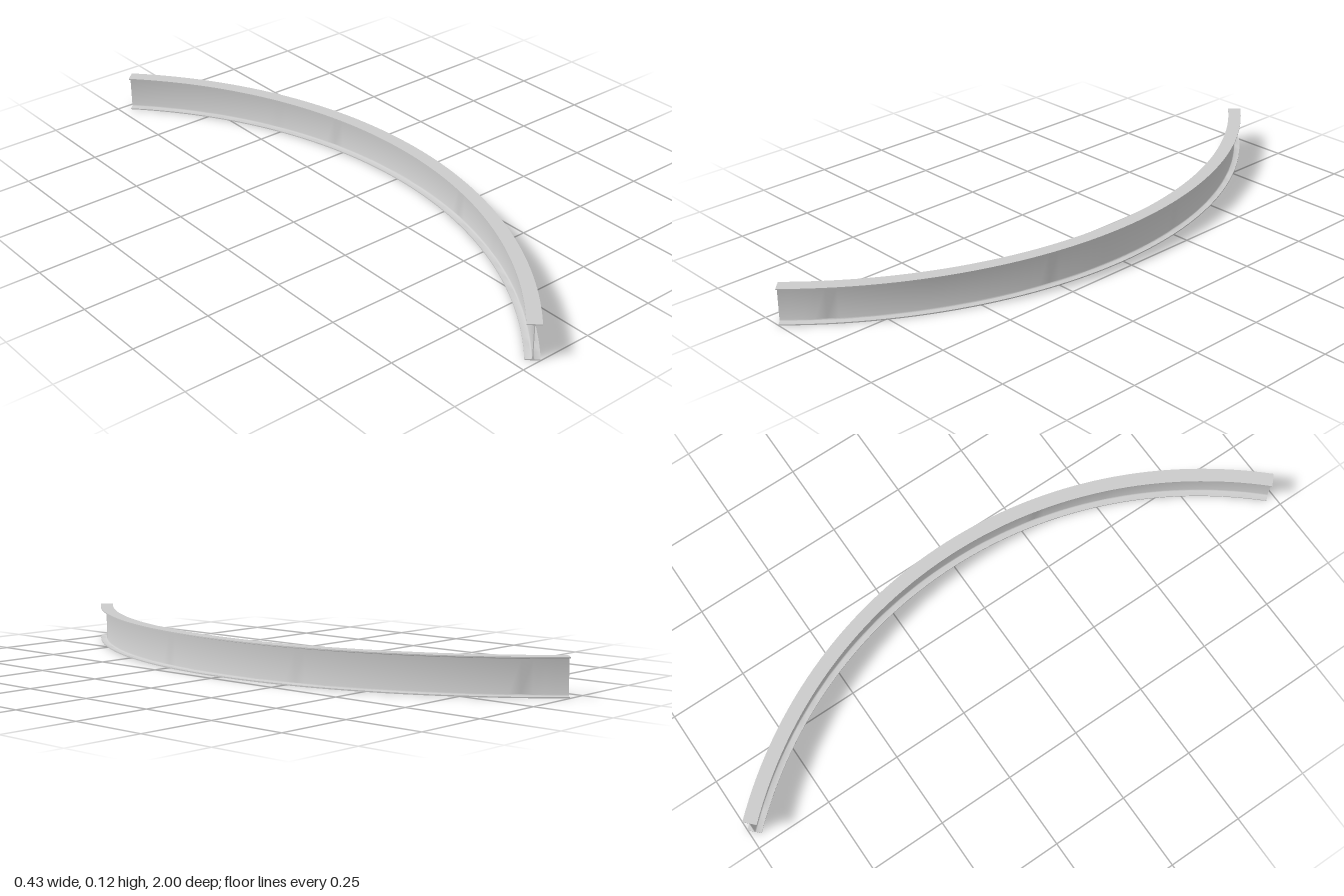
import * as THREE from 'three';
import { toCreasedNormals } from 'three/addons/utils/BufferGeometryUtils.js';

const HEIGHT = 0.118, WIDTH = 0.044, WEB = 0.0026, FLANGE = 0.0036, FILLET = 0.005;
const OUTER_RADIUS = 1.45, HALF_ANGLE = 0.761, APEX_X = 0.216;

// I-section centred on the origin, with fillets between web and flanges
function beamSection() {
  const w = WIDTH / 2, h = HEIGHT / 2, inner = h - FLANGE;
  const cx = WEB / 2 + FILLET, cy = inner - FILLET, q = Math.PI / 2;
  const s = new THREE.Shape();
  s.moveTo(-w, -h);
  s.lineTo(w, -h);
  s.lineTo(w, -inner);
  s.absarc(cx, -cy, FILLET, -q, -2 * q, true);
  s.absarc(cx, cy, FILLET, 2 * q, q, true);
  s.lineTo(w, inner);
  s.lineTo(w, h);
  s.lineTo(-w, h);
  s.lineTo(-w, inner);
  s.absarc(-cx, cy, FILLET, q, 0, true);
  s.absarc(-cx, -cy, FILLET, 0, -q, true);
  s.lineTo(-w, -inner);
  s.closePath();
  return s;
}

export function createModel() {
  const group = new THREE.Group();
  group.name = 'curvedBeam';

  // Straight beam of unit length, bent around a vertical axis
  const geo = new THREE.ExtrudeGeometry(beamSection(), {
    depth: 1, steps: 64, curveSegments: 5, bevelEnabled: false,
  });
  const pos = geo.attributes.position;
  for (let i = 0; i < pos.count; i++) {
    const radius = OUTER_RADIUS - WIDTH / 2 + pos.getX(i);
    const angle = (pos.getZ(i) * 2 - 1) * HALF_ANGLE;
    pos.setXYZ(
      i,
      APEX_X - OUTER_RADIUS + radius * Math.cos(angle),
      pos.getY(i) + HEIGHT / 2,
      radius * Math.sin(angle),
    );
  }

  const beam = new THREE.Mesh(
    toCreasedNormals(geo, 0.6),
    new THREE.MeshStandardMaterial({ color: 0xcccccc }),
  );
  beam.name = 'beam';
  group.add(beam);
  return group;
}
